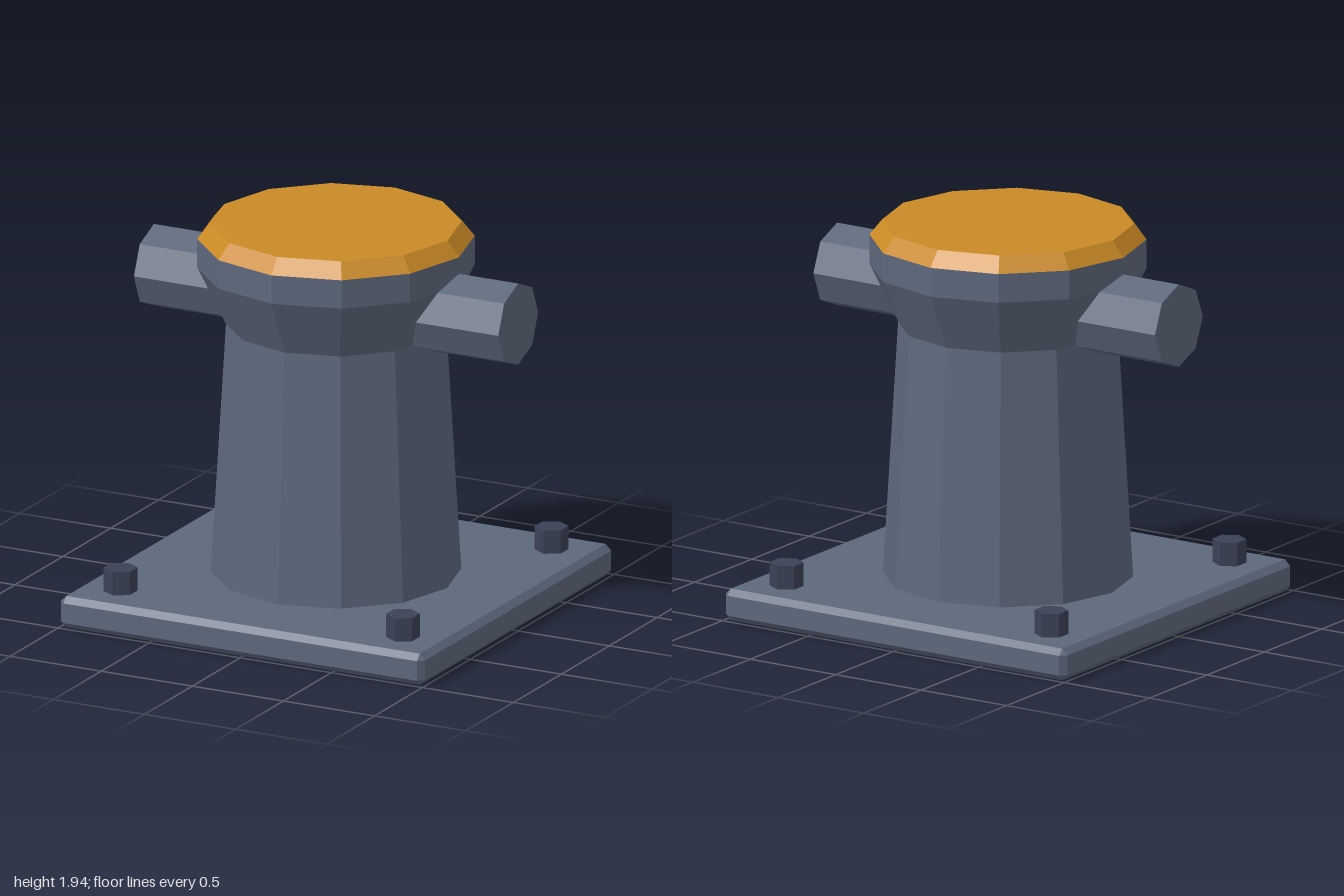
import * as THREE from 'three';
import { ConvexGeometry } from 'three/addons/geometries/ConvexGeometry.js';

const steel = new THREE.MeshStandardMaterial({ color: 0x5d687c });
steel.name = 'slate steel';
const darkSteel = new THREE.MeshStandardMaterial({ color: 0x3b4257 });
darkSteel.name = 'dark bolt steel';
const amber = new THREE.MeshStandardMaterial({ color: 0xca8925 });
amber.name = 'amber paint';

// Gives every facet its own normal
function faceted(geometry) {
  const flat = geometry.index ? geometry.toNonIndexed() : geometry;
  flat.computeVertexNormals();
  return flat;
}

// Box with every edge cut at 45 degrees
function chamferedBox(w, h, d, c) {
  const points = [];
  for (const sx of [-1, 1]) for (const sy of [-1, 1]) for (const sz of [-1, 1]) {
    const x = w / 2, y = h / 2, z = d / 2;
    points.push(
      new THREE.Vector3(sx * x, sy * (y - c), sz * (z - c)),
      new THREE.Vector3(sx * (x - c), sy * y, sz * (z - c)),
      new THREE.Vector3(sx * (x - c), sy * (y - c), sz * z)
    );
  }
  return new ConvexGeometry(points);
}

export function createModel() {
  const model = new THREE.Group();
  model.name = 'mooringBollard';

  function add(name, geometry, material, x, y, z) {
    const mesh = new THREE.Mesh(faceted(geometry), material);
    mesh.name = name;
    mesh.position.set(x, y, z);
    model.add(mesh);
    return mesh;
  }

  // Base plate
  add('basePlate', chamferedBox(2, 0.16, 2, 0.03), steel, 0, 0.08, 0);

  // Tapered post flaring into the head
  const profile = [[0.61, 0.15], [0.535, 1.425], [0.675, 1.715], [0.675, 1.86]]
    .map(([r, y]) => new THREE.Vector2(r, y));
  add('post', new THREE.LatheGeometry(profile, 12), steel, 0, 0, 0);

  // Painted cap with a sloping rim
  add('cap', new THREE.CylinderGeometry(0.613, 0.675, 0.077, 12), amber, 0, 1.8985, 0);

  // Octagonal cross bar
  const bar = add('crossBar', new THREE.CylinderGeometry(0.208, 0.208, 2, 8), steel, 0, 1.568, 0);
  bar.rotation.z = Math.PI / 2;

  // Hexagonal anchor bolts
  for (const x of [-0.775, 0.775]) for (const z of [-0.775, 0.775]) {
    add('anchorBolt', new THREE.CylinderGeometry(0.083, 0.083, 0.13, 6), darkSteel, x, 0.213, z);
  }

  return model;
}
